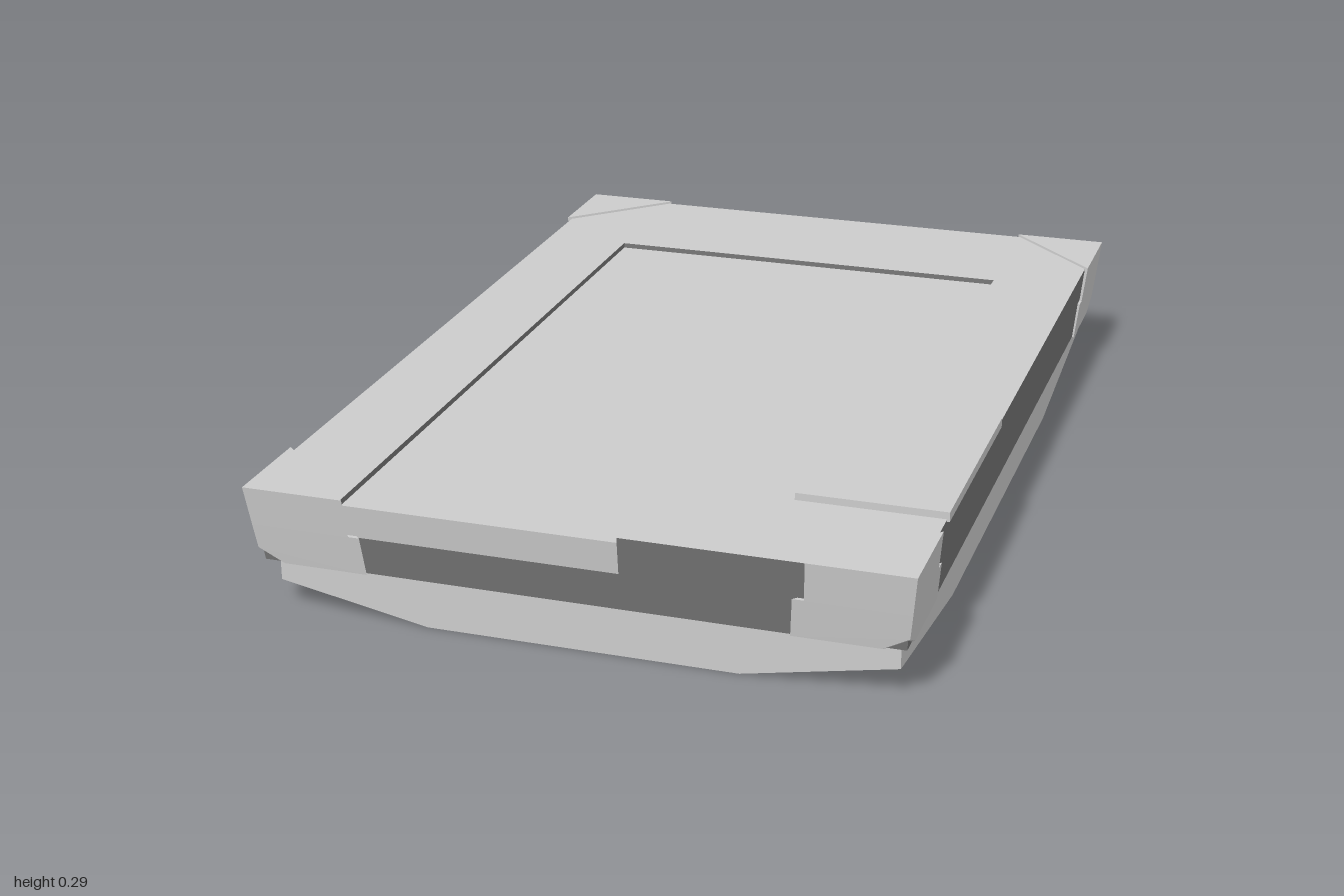
import * as THREE from 'three';
import { ConvexGeometry } from 'three/addons/geometries/ConvexGeometry.js';

const CX = 0.005; // body centre line
const TOP = 0.275;

export function createModel() {
  const model = new THREE.Group();
  const grey = new THREE.MeshStandardMaterial({ color: 0xcccccc, flatShading: true });
  const dark = new THREE.MeshStandardMaterial({ color: 0x747474, flatShading: true });

  const add = (name, geometry, material = grey, parent = model) => {
    const mesh = new THREE.Mesh(geometry, material);
    mesh.name = name;
    parent.add(mesh);
    return mesh;
  };
  const hull = (points) => new ConvexGeometry(points.map((p) => new THREE.Vector3(...p)));

  // Plan outline of [x, z] points raised from y0 to y1, narrowing towards the bottom
  const slab = (outline, y0, y1) => {
    const shape = new THREE.Shape(outline.map(([x, z]) => new THREE.Vector2(x, -z)));
    const geometry = new THREE.ExtrudeGeometry(shape, { depth: y1 - y0, bevelEnabled: false });
    geometry.rotateX(-Math.PI / 2).translate(0, y0, 0);
    const pos = geometry.attributes.position;
    for (let i = 0; i < pos.count; i++) {
      const f = 1 - 0.14 * (TOP - pos.getY(i));
      pos.setX(i, CX + (pos.getX(i) - CX) * f);
      pos.setZ(i, pos.getZ(i) * f);
    }
    geometry.computeVertexNormals();
    return geometry;
  };

  // Base block with its four lower corners cut off
  const base = [];
  for (const sx of [-1, 1]) {
    for (const sz of [-1, 1]) {
      base.push(
        [CX + sx * 0.633, 0.115, sz * 0.94],
        [CX + sx * 0.633, 0.06, sz * 0.94],
        [CX + sx * 0.32, 0, sz * 0.94],
        [CX + sx * 0.633, 0, sz * 0.49],
      );
    }
  }
  add('base', hull(base));

  // Tapered case: dark sides, pale top, with an L-shaped recess open at the front
  const L = -0.66, R = 0.67, B = -0.995, F = 0.99;
  add('lowerCase', slab([[L, B], [R, B], [R, F], [L, F]], 0.115, 0.195), dark);
  add('upperCase', slab([
    [L, B], [R, B], [R, F], [0.1, F], [0.1, -0.03], [0.475, -0.03],
    [0.475, -0.65], [-0.465, -0.65], [-0.465, F], [L, F],
  ], 0.195, TOP), [grey, dark]);
  add('insetPanel', slab([
    [-0.465, -0.65], [0.475, -0.65], [0.475, -0.03], [0.1, -0.03], [0.1, F], [-0.465, F],
  ], 0.195, 0.264));

  // Corner guards: an upper wedge over a slightly wider lower wedge
  for (const sx of [-1, 1]) {
    for (const sz of [-1, 1]) {
      const guard = new THREE.Group();
      guard.name = (sz > 0 ? 'front' : 'back') + (sx > 0 ? 'Left' : 'Right') + 'Guard';
      const place = (points) => hull(points.map(([x, y, z]) => [CX + sx * x, y, sz * z]));
      add('guardTop', place([
        [0.673, 0.28, 1], [0.462, 0.28, 1], [0.673, 0.28, 0.79],
        [0.664, 0.198, 0.988], [0.458, 0.198, 0.988], [0.664, 0.198, 0.78],
      ]), grey, guard);
      add('guardBottom', place([
        [0.664, 0.198, 0.988], [0.435, 0.198, 0.988], [0.664, 0.198, 0.755],
        [0.658, 0.145, 0.98], [0.605, 0.115, 0.975], [0.655, 0.115, 0.925],
        [0.429, 0.115, 0.975], [0.655, 0.115, 0.745],
      ]), grey, guard);
      model.add(guard);
    }
  }

  // Raised plate on the top
  const plate = add('topPlate', new THREE.BoxGeometry(0.305, 0.02, 0.49));
  plate.position.set(0.5225, 0.28, 0.48);

  // Side rail with chamfered upper ends
  const rail = [];
  for (const x of [-0.685, -0.655]) {
    rail.push(
      [x, 0.1, -0.565], [x, 0.16, -0.565], [x, 0.205, -0.545],
      [x, 0.205, 0.612], [x, 0.16, 0.635], [x, 0.1, 0.635],
    );
  }
  add('sideRail', hull(rail));

  return model;
}
